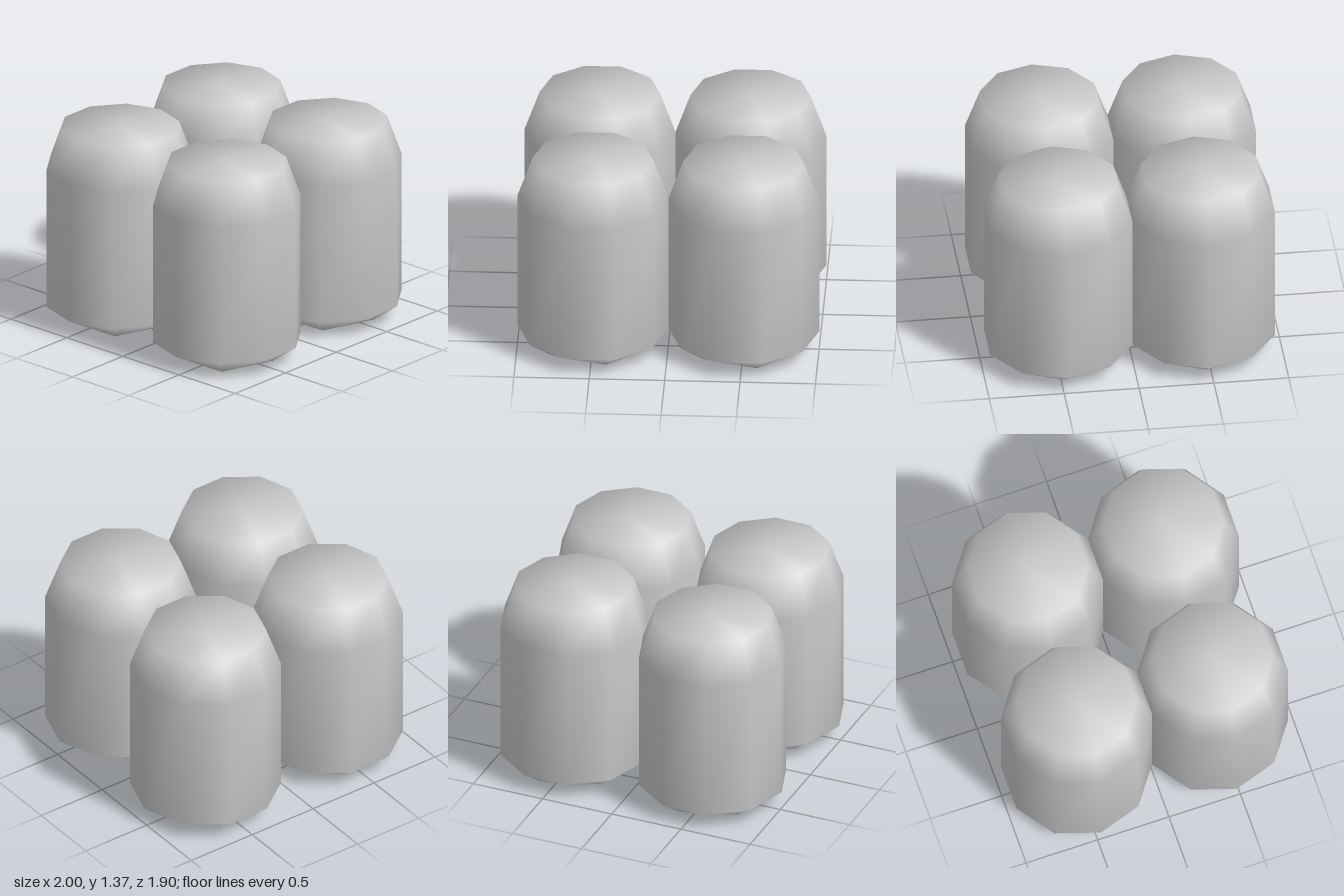
import * as THREE from 'three';

const SIDES = 10;
const RADIUS = 0.5;
const SPACING_X = 0.5;
const SPACING_Z = RADIUS * Math.sin((72 * Math.PI) / 180);

// Corners of a regular polygon at height y, first corner on +x
function ring(count, radius, y) {
  return Array.from({ length: count }, (_, i) => {
    const a = (i / count) * Math.PI * 2;
    return [radius * Math.cos(a), y, radius * Math.sin(a)];
  });
}

function buildGeometry(points, index) {
  const geometry = new THREE.BufferGeometry();
  geometry.setAttribute('position', new THREE.Float32BufferAttribute(points.flat(), 3));
  geometry.setIndex(index);
  geometry.computeVertexNormals();
  return geometry;
}

// Smooth ten-sided shell: five-sided foot, straight wall, tapered shoulder, flat top
function bodyGeometry() {
  const points = [
    ...ring(5, 0.333, 0),
    ...ring(SIDES, RADIUS, 0.12),
    ...ring(SIDES, RADIUS, 1.09),
    ...ring(SIDES, 0.4, 1.37),
    [0, 1.37, 0],
  ];
  const foot = (i) => i % 5;
  const at = (level, i) => 5 + level * SIDES + (i % SIDES);
  const centre = points.length - 1;
  const index = [];

  // Foot taper joins five corners to ten
  for (let j = 0; j < 5; j++) {
    const a = foot(j), b = foot(j + 1), mid = at(0, 2 * j + 1);
    index.push(a, at(0, 2 * j), mid, a, mid, b, b, mid, at(0, 2 * j + 2));
  }
  for (let i = 0; i < SIDES; i++) {
    // Wall and shoulder
    for (let level = 0; level < 2; level++) {
      const a = at(level, i), b = at(level, i + 1);
      const c = at(level + 1, i), d = at(level + 1, i + 1);
      index.push(a, c, b, b, c, d);
    }
    // Top
    index.push(centre, at(2, i + 1), at(2, i));
  }
  return buildGeometry(points, index);
}

// Flat five-sided underside
function baseGeometry() {
  return buildGeometry(ring(5, 0.333, 0), [0, 1, 2, 0, 2, 3, 0, 3, 4]);
}

export function createModel() {
  const model = new THREE.Group();
  model.name = 'canisterCluster';

  const grey = new THREE.MeshStandardMaterial({ color: 0xc8c8c8 });
  grey.name = 'grey';

  const bodyShape = bodyGeometry();
  const baseShape = baseGeometry();

  // Four equal canisters in a two by two block
  for (const [zName, z] of [['front', 1], ['back', -1]]) {
    for (const [xName, x] of [['Left', 1], ['Right', -1]]) {
      const canister = new THREE.Group();
      canister.name = `${zName}${xName}Canister`;
      const body = new THREE.Mesh(bodyShape, grey);
      body.name = 'body';
      const base = new THREE.Mesh(baseShape, grey);
      base.name = 'base';
      canister.add(body, base);
      canister.position.set(x * SPACING_X, 0, z * SPACING_Z);
      model.add(canister);
    }
  }
  return model;
}
